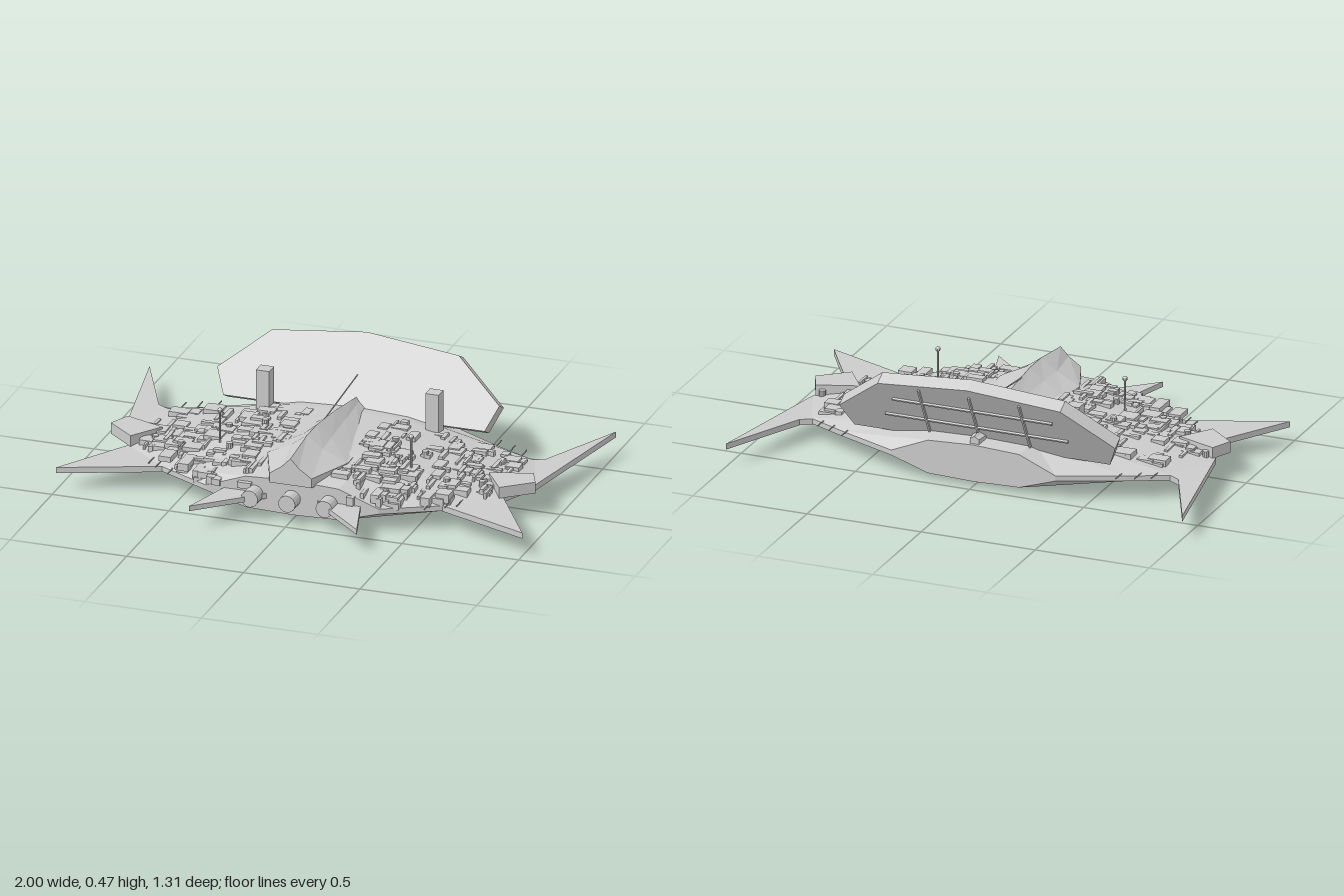
import * as THREE from 'three';
import { mergeGeometries } from 'three/addons/utils/BufferGeometryUtils.js';

const mat = new THREE.MeshStandardMaterial({ color: 0xcccccc, flatShading: true });

// Small seeded generator for the surface detail
let seed = 7;
const rnd = (a = 0, b = 1) => {
  seed = (seed * 16807) % 2147483647;
  return a + (b - a) * (seed / 2147483647);
};

// Skin loops of points (counter-clockwise seen from +z), ordered front to back, with end caps
function loft(loops) {
  const pos = [];
  const tri = (...p) => p.forEach(q => pos.push(...q));
  const n = loops[0].length;
  for (let s = 0; s < loops.length - 1; s++) {
    for (let i = 0; i < n; i++) {
      const j = (i + 1) % n, A = loops[s], B = loops[s + 1];
      tri(A[i], B[i], B[j]);
      tri(A[i], B[j], A[j]);
    }
  }
  const F = loops[0], L = loops[loops.length - 1];
  for (let i = 1; i < n - 1; i++) {
    tri(F[0], F[i], F[i + 1]);
    tri(L[0], L[i + 1], L[i]);
  }
  const g = new THREE.BufferGeometry();
  g.setAttribute('position', new THREE.Float32BufferAttribute(pos, 3));
  g.computeVertexNormals();
  return g;
}

// Horizontal plate from [x, z] corners between two heights
function plate(points, y0, y1) {
  const shape = new THREE.Shape(points.map(([x, z]) => new THREE.Vector2(x, -z)));
  return new THREE.ExtrudeGeometry(shape, { depth: y1 - y0, bevelEnabled: false })
    .rotateX(-Math.PI / 2).translate(0, y0, 0);
}

const box = (w, h, d, x, y, z) => new THREE.BoxGeometry(w, h, d).translate(x, y, z);

// Hull stations: z, rim half width, keel half width, keel y, deck half width, deck y
const HULL = [
  [0.42, 0.37, 0.2, 0.028, 0.2, 0.163],
  [0.3, 0.6, 0.26, 0.016, 0.22, 0.185],
  [0.14, 0.8, 0.32, 0.01, 0.25, 0.2],
  [-0.04, 0.88, 0.34, 0.006, 0.25, 0.2],
  [-0.27, 0.79, 0.32, 0.012, 0.25, 0.195],
  [-0.35, 0.62, 0.27, 0.018, 0.22, 0.185],
  [-0.46, 0.36, 0.2, 0.025, 0.2, 0.168],
];

function station(z) {
  for (let i = 0; i < HULL.length - 1; i++) {
    const a = HULL[i], b = HULL[i + 1];
    if (z <= a[0] && z >= b[0]) {
      const t = (a[0] - z) / (a[0] - b[0]);
      return a.map((v, k) => v + (b[k] - v) * t);
    }
  }
  return HULL[z > 0 ? 0 : HULL.length - 1];
}

// Height of the deck at a point
function deckY(x, z) {
  const [, w, , , t, yt] = station(z);
  const k = THREE.MathUtils.clamp((Math.abs(x) - t) / (w - t), 0, 1);
  return yt + (0.1 - yt) * k;
}

export function createModel() {
  const root = new THREE.Group();
  const add = (name, geo, parent = root) => {
    const m = new THREE.Mesh(geo, mat);
    m.name = name;
    parent.add(m);
    return m;
  };

  // Faceted main hull
  add('hull', loft(HULL.map(([z, w, b, yb, t, yt]) => [
    [b, yb, z], [w, 0.078, z], [w, 0.1, z], [t, yt, z], [0, yt + 0.01, z],
    [-t, yt, z], [-w, 0.1, z], [-w, 0.078, z], [-b, yb, z], [0, yb - 0.006, z],
  ])));

  // Concave ridged spine: z, base half width, ridge y
  const SPINE = [[0.44, 0.09, 0.275], [0.24, 0.17, 0.3], [0.12, 0.15, 0.3],
    [-0.1, 0.1, 0.275], [-0.3, 0.045, 0.242], [-0.45, 0.02, 0.212]];
  add('spine', loft(SPINE.map(([z, w, y]) => {
    const m = 0.2 + (y - 0.2) * 0.5;
    return [[w, 0.16, z], [w, 0.2, z], [w * 0.4, m, z], [0, y, z],
      [-w * 0.4, m, z], [-w, 0.2, z], [-w, 0.16, z]];
  })));

  // Long rod rising backwards from the ridge
  const rodPath = new THREE.LineCurve3(new THREE.Vector3(0, 0.285, 0.06), new THREE.Vector3(0, 0.325, -0.36));
  add('ridgeAntenna', new THREE.TubeGeometry(rodPath, 1, 0.003, 5));

  // Front nozzles
  [-0.16, 0, 0.16].forEach(x => add('nozzle',
    new THREE.CylinderGeometry(0.036, 0.036, 0.1, 16).rotateX(Math.PI / 2).translate(x, 0.094, 0.435)));

  for (const s of [-1, 1]) {
    const m = pts => pts.map(([x, z]) => [x * s, z]);
    // Flat spikes around the rim
    add('rearSpike', plate(m([[1, -0.66], [0.88, -0.03], [0.7, -0.1], [0.76, -0.26], [0.83, -0.3]]), 0.075, 0.1));
    add('sideSpike', plate(m([[1, 0.455], [0.58, 0.29], [0.8, 0.13]]), 0.075, 0.1));
    add('frontSpike', plate(m([[0.36, 0.65], [0.11, 0.42], [0.29, 0.41]]), 0.078, 0.1));
    add('upperFin', plate(m([[0.91, 0.05], [0.79, 0.15], [0.7, 0.02], [0.87, -0.04]]), 0.1, 0.148));
    add('lowerFin', plate(m([[0.69, 0.02], [0.4, 0.18], [0.4, -0.09]]), 0.02, 0.038));

    // Deck towers and ball-topped masts
    add('tower', box(0.057, 0.22, 0.057, 0.363 * s, 0.23, -0.265));
    const mast = new THREE.Group();
    mast.name = 'mast';
    mast.position.set(0.41 * s, 0, 0.14);
    add('mastPole', new THREE.CylinderGeometry(0.004, 0.005, 0.16, 6).translate(0, 0.23, 0), mast);
    add('mastBall', new THREE.SphereGeometry(0.011, 10, 8).translate(0, 0.31, 0), mast);
    root.add(mast);

    // Blocks beside the nozzles and along the front rim
    const rim = [];
    for (let i = 0; i < 11; i++) {
      const x = rnd(0.2, 0.62), z = 0.44 - Math.max(0, x - 0.25) * 0.42;
      rim.push(box(rnd(0.02, 0.06), rnd(0.02, 0.04), rnd(0.05, 0.11),
        x * s, rnd(0.1, 0.14), z - 0.03));
    }
    add('frontRimBlocks', mergeGeometries(rim));

    // Thin whiskers on the flanks
    const whiskers = [];
    for (const [x, z, d] of [[0.55, 0.32, 1], [0.62, 0.27, 1], [0.66, 0.24, 1], [0.6, -0.35, -1], [0.67, -0.32, -1], [0.73, -0.29, -1]]) {
      whiskers.push(new THREE.CylinderGeometry(0.003, 0.003, 0.09, 5)
        .rotateX(Math.PI / 2).translate(x * s, 0.105, z + d * 0.01));
    }
    add('whiskers', mergeGeometries(whiskers));

    // Slabs and blocks scattered over the deck
    const slabs = [];
    while (slabs.length < 125) {
      const z = rnd(-0.24, 0.38), w = station(z)[1], x = rnd(0.16, 0.86);
      if (x > w - 0.06 || (z < 0 && rnd() < 0.5)) continue;
      const narrow = rnd() < 0.45;
      const dx = narrow ? rnd(0.008, 0.02) : rnd(0.03, 0.085);
      const dz = narrow ? rnd(0.04, 0.1) : rnd(0.02, 0.075);
      const top = deckY(x, z) + rnd(0.004, 0.017);
      slabs.push(box(dx, 0.03, dz, x * s, top - 0.015, z));
    }
    add('deckDetail', mergeGeometries(slabs));

    // Small round domes on the deck
    const domes = [[0.42, 0], [0.84, -0.04], [0.28, -0.04], [0.57, 0.16], [0.7, 0.1], [0.35, 0.19]]
      .map(([x, z]) => new THREE.CylinderGeometry(0.014, 0.014, 0.04, 10)
        .translate(x * s, deckY(x, z) + 0.004, z));
    add('deckDomes', mergeGeometries(domes));
  }

  // Tilted rear shield with a lattice on its back
  const shield = new THREE.Group();
  shield.name = 'rearShield';
  shield.position.set(0, 0.175, -0.315);
  shield.rotation.x = -0.5;
  const outline = [[-0.56, 0], [0.56, 0], [0.605, 0.11], [0.4, 0.29], [0, 0.333], [-0.4, 0.29], [-0.605, 0.11]];
  const shape = new THREE.Shape(outline.map(([x, y]) => new THREE.Vector2(x, y)));
  add('shieldPlate', new THREE.ExtrudeGeometry(shape, { depth: 0.06, bevelEnabled: false }).translate(0, 0, -0.06), shield);
  const bars = [-0.22, 0, 0.22].map(x => box(0.008, 0.25, 0.01, x, 0.165, -0.065));
  bars.push(box(0.8, 0.008, 0.01, 0, 0.11, -0.065), box(0.7, 0.008, 0.01, 0, 0.21, -0.065));
  add('shieldLattice', mergeGeometries(bars), shield);
  root.add(shield);

  return root;
}
